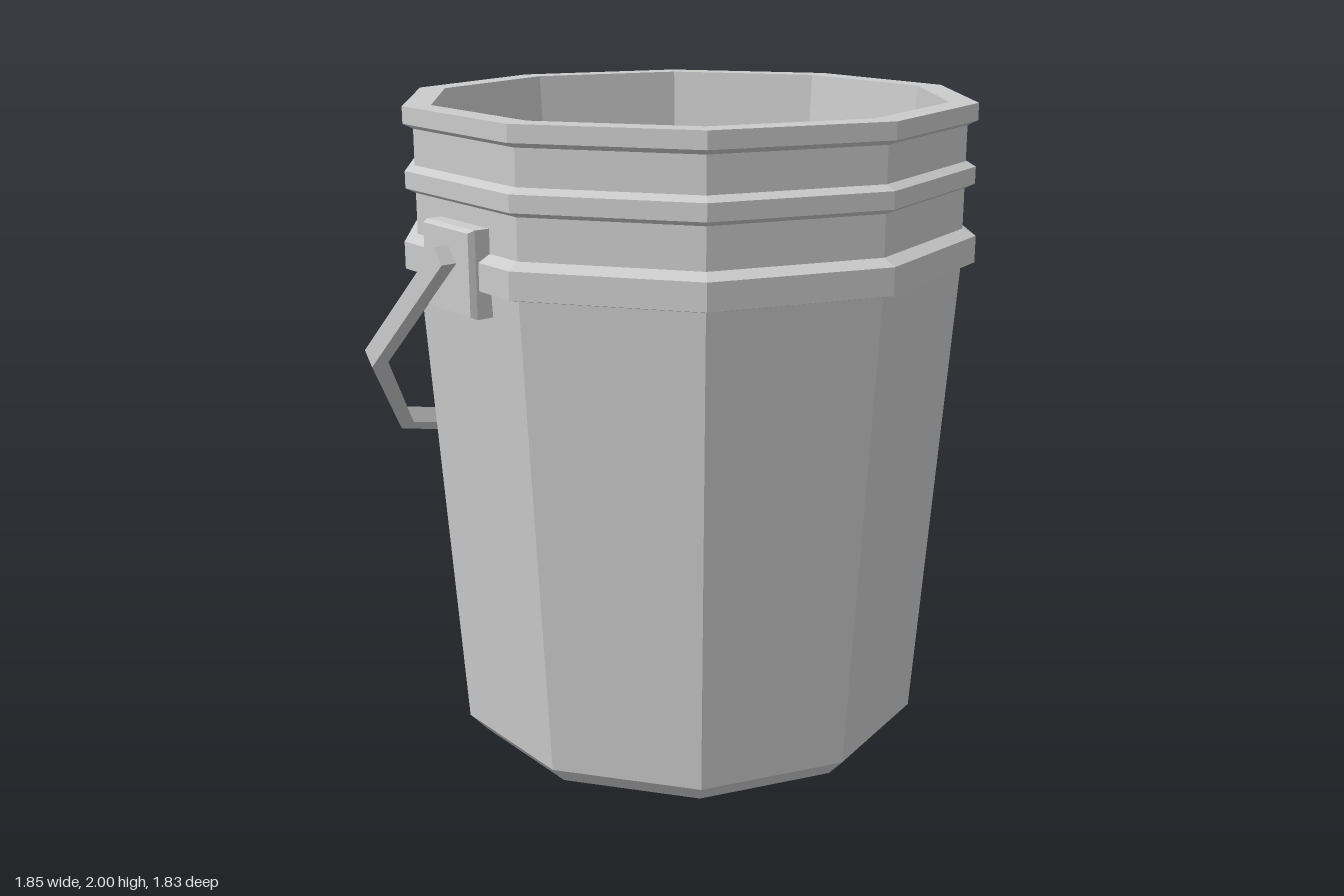
import * as THREE from 'three';

const material = new THREE.MeshStandardMaterial({ color: 0xcccccc, flatShading: true });
const CENTRE_X = 0.04;

// Faceted solid from [radius, height] pairs listed bottom to top
function turned(name, profile, sides, start) {
  const points = profile.map(([r, y]) => new THREE.Vector2(r, y));
  const mesh = new THREE.Mesh(new THREE.LatheGeometry(points, sides, start), material);
  mesh.name = name;
  return mesh;
}

// Square-section solid along z from [half width, z] pairs
function squareAlongZ(name, profile) {
  const mesh = turned(name, profile.map(([h, z]) => [h * Math.SQRT2, z]), 4, Math.PI / 4);
  mesh.geometry.rotateX(Math.PI / 2);
  return mesh;
}

export function createModel() {
  const model = new THREE.Group();
  model.name = 'bucket';

  // Ten-sided hollow body with three raised bands
  const body = turned('body', [
    [0, 0], [0.69, 0], [0.745, 0.06], [0.845, 1.52],
    [0.885, 1.53], [0.885, 1.61], [0.845, 1.63],
    [0.845, 1.75], [0.875, 1.765], [0.875, 1.815], [0.845, 1.83],
    [0.845, 1.935], [0.875, 1.95], [0.875, 2],
    [0.79, 2], [0.655, 0.08], [0, 0.08],
  ], 10, Math.PI / 2);
  body.position.x = CENTRE_X;
  model.add(body);

  // Pivot plates, front and back
  for (const side of [1, -1]) {
    const plate = squareAlongZ(side > 0 ? 'frontPivotPlate' : 'backPivotPlate', [
      [0, 0.77], [0.125, 0.77], [0.125, 0.85], [0.117, 0.868], [0, 0.868],
    ]);
    plate.position.set(CENTRE_X, 1.575, 0);
    plate.rotation.y = side > 0 ? 0 : Math.PI;
    // the square is symmetric, so turning it only flips its depth
    model.add(plate);
  }

  // Handle, drawn flat and then swung down towards -x
  const handle = new THREE.Group();
  handle.name = 'handle';
  const reach = 1.227;
  const outer = [[0, 0.915], [0.573, 0.915], [1.1, 0.605], [1.25, 0.24]];
  const inner = [[0, 0.866], [0.557, 0.866], [1.062, 0.575], [1.205, 0.24]];
  const mirrored = (list) => list.map(([u, w]) => [u, -w]).reverse();
  const outline = [...outer, ...mirrored(outer), ...inner.map(([u, w]) => [u, -w]), ...[...inner].reverse()];
  const shape = new THREE.Shape(outline.map(([u, w]) => new THREE.Vector2(u, w)));
  const barGeometry = new THREE.ExtrudeGeometry(shape, { depth: 0.06, bevelEnabled: false });
  barGeometry.translate(0, 0, -0.03);
  barGeometry.rotateX(Math.PI / 2);
  const bar = new THREE.Mesh(barGeometry, material);
  bar.name = 'handleBar';
  handle.add(bar);

  // Square grip with a collar at each end
  const grip = squareAlongZ('grip', [
    [0, -0.27], [0.05, -0.27], [0.06, -0.257], [0.06, -0.2], [0.047, -0.185],
    [0.047, 0.185], [0.06, 0.2], [0.06, 0.257], [0.05, 0.27], [0, 0.27],
  ]);
  grip.position.x = reach;
  handle.add(grip);

  handle.position.set(0.074, 1.623, 0);
  handle.rotation.z = Math.atan2(-0.813, -0.919);
  model.add(handle);

  return model;
}
